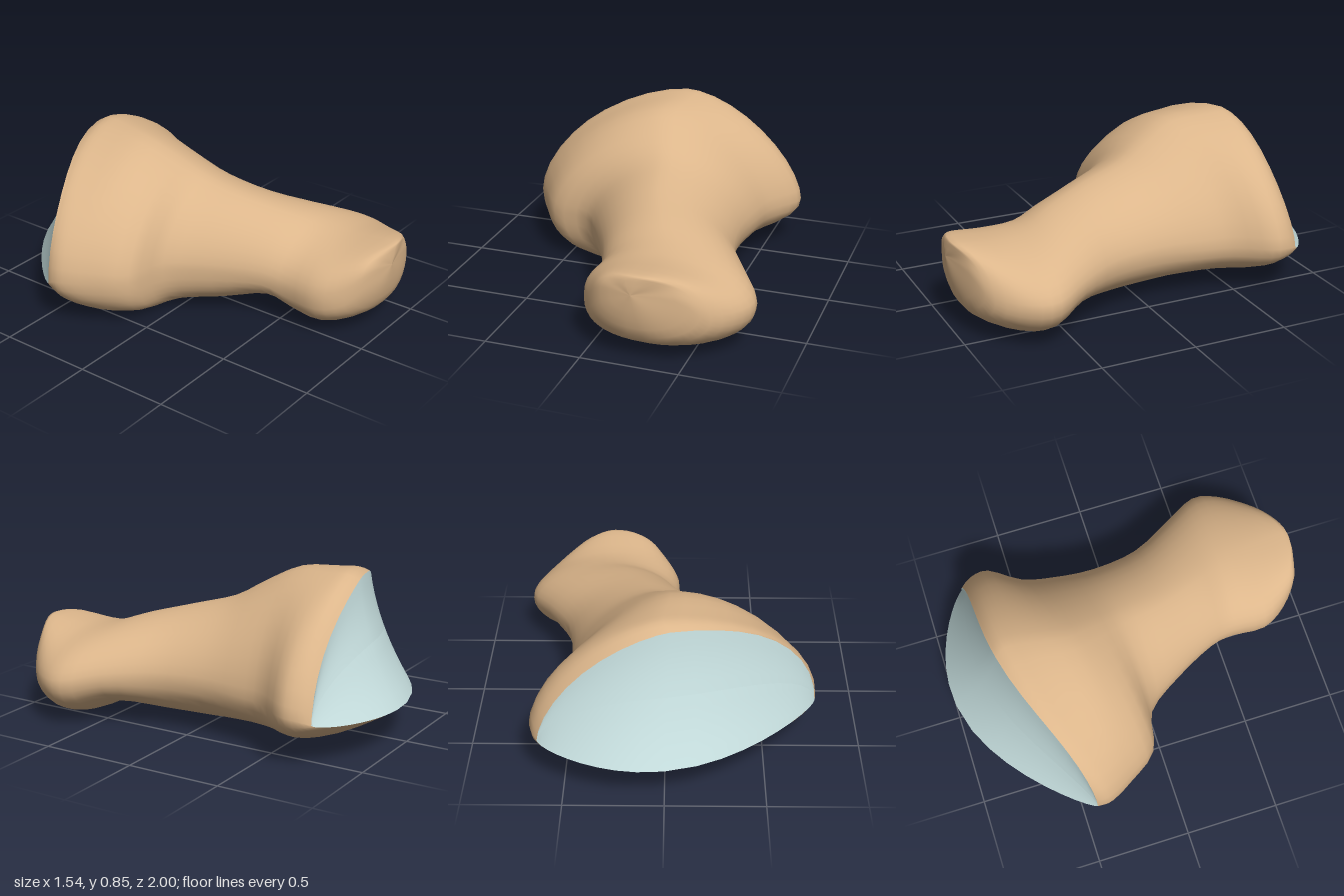
import * as THREE from 'three';

const SIDES = 40, STEPS = 3;

// Cross-sections from the small front head to the wide rear end:
// left x, left z, right x, right z, mid y, top u, top y, bottom u, bottom y, top dz, bottom dz
const SECTIONS = [
  [0.26, 1.0, 0.26, 1.0, 0.38, 0.5, 0.38, 0.5, 0.38, 0, 0],
  [0.1, 0.965, 0.47, 0.955, 0.36, 0.5, 0.45, 0.5, 0.24, 0.035, 0.025],
  [0.0, 0.88, 0.62, 0.88, 0.25, 0.52, 0.48, 0.5, 0.11, 0.085, 0.05],
  [-0.07, 0.75, 0.74, 0.74, 0.23, 0.47, 0.46, 0.48, 0.025, 0, 0],
  [-0.065, 0.57, 0.77, 0.6, 0.235, 0.44, 0.48, 0.5, 0.03, 0, 0],
  [-0.1, 0.43, 0.665, 0.42, 0.27, 0.42, 0.53, 0.5, 0.09, 0, 0],
  [-0.215, 0.2, 0.54, 0.19, 0.28, 0.45, 0.59, 0.45, 0.04, 0, 0],
  [-0.36, 0.0, 0.5, -0.07, 0.28, 0.5, 0.655, 0.4, 0.015, 0, 0],
  [-0.57, -0.06, 0.52, -0.3, 0.27, 0.54, 0.745, 0.35, 0.008, 0, 0],
  [-0.69, -0.22, 0.56, -0.47, 0.27, 0.53, 0.825, 0.33, 0.005, 0, 0],
  [-0.76, -0.34, 0.67, -0.63, 0.27, 0.53, 0.85, 0.37, 0.03, -0.07, -0.09],
  [-0.77, -0.4, 0.665, -0.73, 0.26, 0.54, 0.853, 0.45, 0.1, -0.09, -0.21],
  [-0.765, -0.43, 0.63, -0.79, 0.24, 0.53, 0.825, 0.55, 0.21, -0.1, -0.37],
];

const lerp = THREE.MathUtils.lerp;

// Smoothly interpolated section values at position t (in section units)
function sectionAt(t) {
  const last = SECTIONS.length - 1;
  const i = Math.min(Math.floor(t), last - 1), f = t - i;
  const row = k => SECTIONS[Math.max(0, Math.min(last, k))];
  return row(i).map((b, c) => {
    const a = row(i - 1)[c], d = row(i + 1)[c], e = row(i + 2)[c];
    return b + 0.5 * f * (d - a + f * (2 * a - 5 * b + 4 * d - e + f * (3 * (b - d) + e - a)));
  });
}

// One closed ring, made of four quadrants with their own roundness
function ringAt(t) {
  const [xl, zl, xr, zr, my, tu, ty, bu, by, tz, bz] = sectionAt(t);
  const v = t / (SECTIONS.length - 1);
  const upperLeft = lerp(0.58, 1.2, Math.sin(v * Math.PI * 0.75)), upperRight = lerp(1.02, 1.28, v);
  const lowerLeft = lerp(0.72, 0.85, v), lowerRight = lerp(0.95, 0.85, v);
  const ring = [];
  for (let i = 0; i < SIDES; i++) {
    const a = i / SIDES * Math.PI * 2, c = Math.cos(a), s = Math.sin(a);
    const up = s >= 0, cu = up ? tu : bu;
    const e = up ? (c < 0 ? upperLeft : upperRight) : (c < 0 ? lowerLeft : lowerRight);
    const pc = Math.abs(c) ** e, ps = Math.abs(s) ** e;
    const u = c < 0 ? cu * (1 - pc) : cu + (1 - cu) * pc;
    const y = my + ((up ? ty : by) - my) * ps;
    const arc = Math.max(0, Math.sin(Math.PI * u));
    const bow = up ? tz * arc ** 1.7 : bz * arc ** 0.8;
    ring.push(new THREE.Vector3(lerp(xl, xr, u), y, lerp(zl, zr, u) + bow));
  }
  return ring;
}

// Skin a list of rings running from front to back
function loft(rings) {
  const index = [];
  for (let j = 0; j < rings.length - 1; j++) {
    for (let i = 0; i < SIDES; i++) {
      const k = (i + 1) % SIDES;
      const a = j * SIDES + i, b = j * SIDES + k, c = a + SIDES, d = b + SIDES;
      index.push(a, c, b, b, c, d);
    }
  }
  const geometry = new THREE.BufferGeometry().setFromPoints(rings.flat());
  geometry.setIndex(index);
  geometry.computeVertexNormals();
  return geometry;
}

export function createModel() {
  const group = new THREE.Group();
  const add = (name, rings, color) => {
    const mesh = new THREE.Mesh(loft(rings), new THREE.MeshStandardMaterial({ color }));
    mesh.name = name;
    group.add(mesh);
  };

  // Bone body: head, waist and flared rear end
  const count = (SECTIONS.length - 1) * STEPS;
  const body = Array.from({ length: count + 1 }, (_, j) => ringAt(j / STEPS));
  add('boneBody', body, 0xdcb68b);

  // Joint surface: the upper and lower rim meet along a shallow hollow in the middle
  const rim = body[count];
  const face = [0, 0.2, 0.4, 0.6, 0.8, 1].map(s => rim.map((p, i) => {
    const middle = p.clone().add(rim[(SIDES - i) % SIDES]).multiplyScalar(0.5);
    const point = p.clone().lerp(middle, s);
    point.z += 0.04 * (1 - (1 - s) ** 2) * Math.abs(Math.sin(i / SIDES * Math.PI * 2));
    return point;
  }));
  add('jointSurface', face, 0xc4dcdc);

  return group;
}
